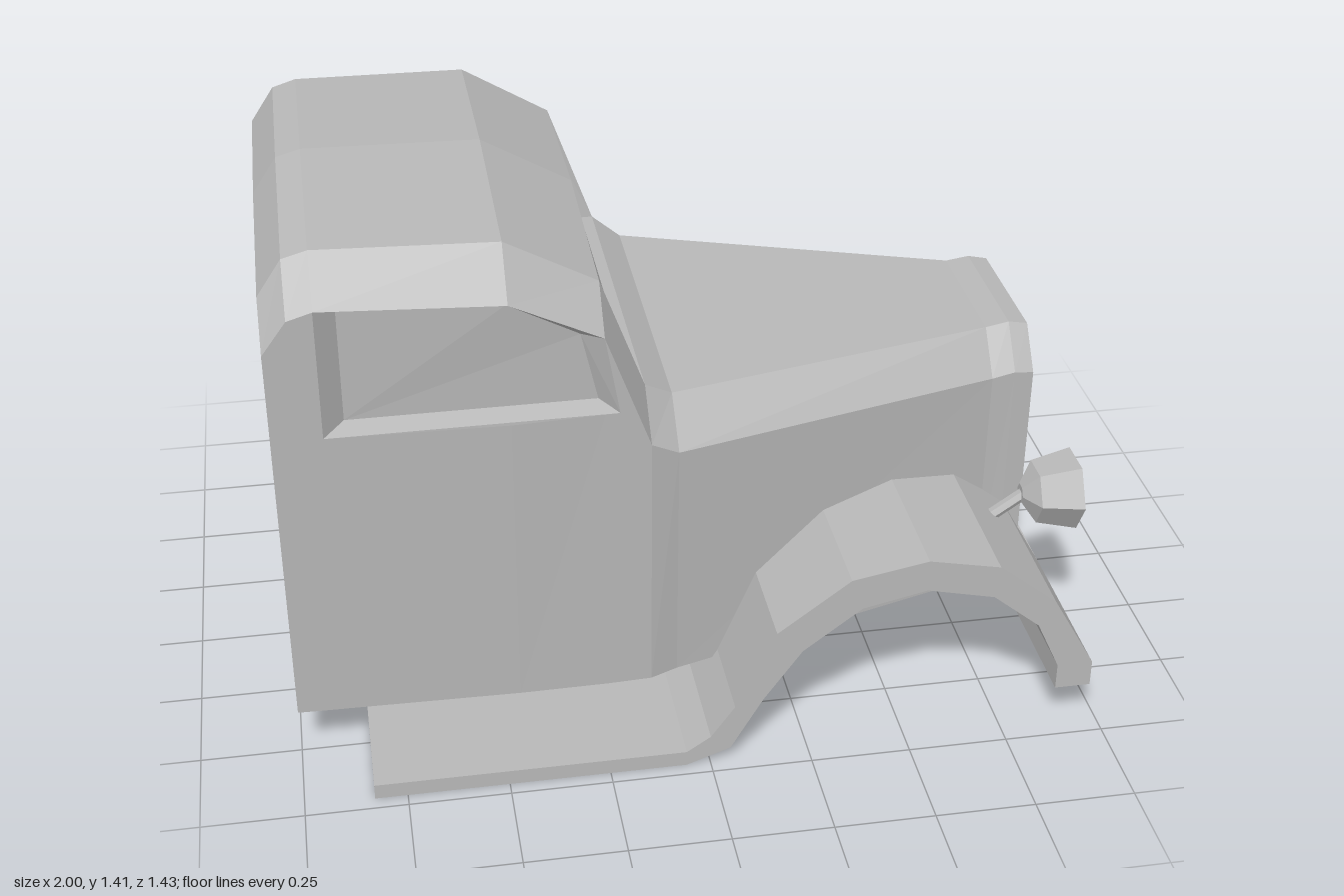
import * as THREE from 'three';

const paint = new THREE.MeshStandardMaterial({ color: 0xb8b8b8, flatShading: true, side: THREE.DoubleSide });
paint.name = 'greyPaint';

const BOTTOM = 0.145, SILL = 0.945;

// Stations along the body: x, top centre y, roof edge y/z, shoulder y/z, bottom z
const stations = [
  [-1.00, 1.305, 1.28, 0.49, 1.175, 0.575, 0.535],
  [-0.94, 1.395, 1.37, 0.49, 1.26, 0.58, 0.537],
  [-0.88, 1.412, 1.388, 0.492, 1.28, 0.583, 0.538],
  [-0.45, 1.405, 1.38, 0.505, 1.265, 0.595, 0.547],
  [-0.23, 1.28, 1.255, 0.49, 1.15, 0.575, 0.545],
  [-0.12, 0.95, 0.95, 0.457, 0.845, 0.56, 0.54],
  [-0.05, 0.903, 0.903, 0.425, 0.80, 0.533, 0.51],
  [0.80, 0.875, 0.875, 0.187, 0.772, 0.272, 0.258],
  [0.86, 0.885, 0.885, 0.185, 0.782, 0.267, 0.256],
  [0.91, 0.875, 0.875, 0.183, 0.775, 0.262, 0.252],
].map(([x, top, ey, ez, ly, lz, bz]) => ({
  x,
  top: [x, top, 0],
  edge: [x, ey, ez],
  low: [x, ly, lz],
  bottom: [x, BOTTOM, bz],
  base: [x, BOTTOM, 0],
  slope: (lz - bz) / (ly - BOTTOM),
}));

// z of the body side at any x, y
function sideZ(x, y) {
  let i = 0;
  while (i < stations.length - 2 && stations[i + 1].x < x) i++;
  const a = stations[i], b = stations[i + 1], t = (x - a.x) / (b.x - a.x);
  const at = s => s.bottom[2] + s.slope * (y - BOTTOM);
  return at(a) * (1 - t) + at(b) * t;
}
const onSide = (x, y, depth = 0) => [x, y, sideZ(x, y) - depth];

// Mesh from polygons, each fanned from its first corner and mirrored across z
function mirroredFaces(name, polygons) {
  const out = [];
  const fan = p => {
    for (let i = 1; i < p.length - 1; i++) out.push(...p[0], ...p[i], ...p[i + 1]);
  };
  for (const p of polygons) {
    fan(p);
    fan(p.map(([x, y, z]) => [x, y, -z]).reverse());
  }
  const g = new THREE.BufferGeometry();
  g.setAttribute('position', new THREE.Float32BufferAttribute(out, 3));
  g.computeVertexNormals();
  const mesh = new THREE.Mesh(g, paint);
  mesh.name = name;
  return mesh;
}

// Quads joining two rows of points
function bridge(a, b, closed) {
  const quads = [];
  for (let i = 0; i < a.length - (closed ? 0 : 1); i++) {
    const j = (i + 1) % a.length;
    quads.push([a[i], a[j], b[j], b[i]]);
  }
  return quads;
}

function extrude(name, points, z0, z1) {
  const shape = new THREE.Shape(points.map(p => new THREE.Vector2(...p)));
  const g = new THREE.ExtrudeGeometry(shape, { depth: z1 - z0, bevelEnabled: false });
  g.translate(0, 0, z0);
  const mesh = new THREE.Mesh(g, paint);
  mesh.name = name;
  return mesh;
}

// Cab and bonnet shell, open at the windows and grille
function makeBody() {
  const faces = [];
  for (let i = 0; i < stations.length - 1; i++) {
    const a = stations[i], b = stations[i + 1];
    if (i !== 4) faces.push([a.edge, b.edge, b.top, a.top]);
    faces.push([a.low, b.low, b.edge, a.edge]);
    faces.push([a.base, b.base, b.bottom, a.bottom]);
    if (i === 2 || i === 3) {
      faces.push([a.bottom, b.bottom, onSide(b.x, SILL), onSide(a.x, SILL)]);
    } else if (i === 4) {
      faces.push([b.low, a.low, onSide(-0.195, SILL), onSide(a.x, SILL), a.bottom, b.bottom]);
    } else {
      faces.push([a.bottom, b.bottom, b.low, a.low]);
    }
  }
  // Rear wall
  const r = stations[0];
  faces.push([r.base, r.bottom, r.low, r.edge, r.top]);
  return mirroredFaces('body', faces);
}

// Recessed side windows
function makeSideWindows() {
  const outer = [[-0.88, SILL], [-0.195, SILL], [-0.23, 1.15], [-0.45, 1.265], [-0.88, 1.28]]
    .map(([x, y]) => onSide(x, y));
  const inner = [[-0.83, 0.962], [-0.24, 0.962], [-0.28, 1.142], [-0.45, 1.24], [-0.83, 1.255]]
    .map(([x, y]) => onSide(x, y, 0.05));
  return [
    mirroredFaces('sideWindowFrames', bridge(outer, inner, true)),
    mirroredFaces('sideWindows', [inner]),
  ];
}

// Recessed windscreen
function makeWindscreen() {
  const outer = [[-0.12, 0.95, 0], stations[5].edge, stations[4].edge, stations[4].top].reverse();
  const inner = [[-0.15, 0.952, 0], [-0.15, 0.952, 0.452], [-0.252, 1.235, 0.468], [-0.26, 1.26, 0]].reverse();
  return [
    mirroredFaces('windscreenFrame', bridge(outer, inner)),
    mirroredFaces('windscreen', [inner]),
  ];
}

// Nose surround with a recessed grille
function makeGrille() {
  const n = stations[stations.length - 1];
  const outer = [n.top, n.edge, n.low, n.bottom, n.base];
  const loop = (x, pts) => pts.map(([y, z]) => [x, y, z]);
  const rim = loop(0.912, [[0.82, 0], [0.82, 0.162], [0.757, 0.222], [0.233, 0.2], [0.233, 0]]);
  const inner = loop(0.87, [[0.78, 0], [0.78, 0.14], [0.73, 0.185], [0.285, 0.163], [0.285, 0]]);
  return [
    mirroredFaces('grilleSurround', [...bridge(outer, rim), ...bridge(rim, inner)]),
    mirroredFaces('grille', [inner.slice().reverse()]),
  ];
}

// Hexagonal headlight on a short stalk
function makeHeadlight(side) {
  const lamp = new THREE.Group();
  lamp.name = side > 0 ? 'leftHeadlight' : 'rightHeadlight';
  const profile = [[0, -0.14], [0.024, -0.14], [0.08, -0.105], [0.104, 0], [0.055, -0.015], [0, -0.015]];
  const shell = new THREE.Mesh(new THREE.LatheGeometry(profile.map(p => new THREE.Vector2(...p)), 6), paint);
  shell.name = 'headlightShell';
  shell.rotation.z = -Math.PI / 2;
  shell.position.set(1, 0.495, 0);
  const from = new THREE.Vector3(0.78, 0.43, 0), to = new THREE.Vector3(0.875, 0.495, 0);
  const stalk = new THREE.Mesh(new THREE.CylinderGeometry(0.016, 0.016, from.distanceTo(to), 6), paint);
  stalk.name = 'headlightStalk';
  stalk.position.copy(from).lerp(to, 0.5);
  stalk.quaternion.setFromUnitVectors(new THREE.Vector3(0, 1, 0), to.clone().sub(from).normalize());
  lamp.add(shell, stalk);
  lamp.position.z = side * 0.385;
  return lamp;
}

export function createModel() {
  const model = new THREE.Group();
  model.name = 'truckCab';
  model.add(makeBody(), ...makeSideWindows(), ...makeWindscreen(), ...makeGrille());

  // Wings flowing into the running boards
  const wing = [
    [-0.83, 0], [-0.06, 0], [0.05, 0.04], [0.13, 0.18], [0.225, 0.315], [0.37, 0.425], [0.53, 0.46],
    [0.70, 0.42], [0.82, 0.32], [0.88, 0.19], [0.88, 0.12], [0.97, 0.12], [0.97, 0.19],
    [0.86, 0.385], [0.71, 0.507], [0.53, 0.545], [0.34, 0.51], [0.16, 0.375], [0.06, 0.165],
    [0, 0.08], [-0.06, 0.04], [-0.83, 0.04],
  ];
  model.add(extrude('leftWing', wing, 0.26, 0.715), extrude('rightWing', wing, -0.715, -0.26));
  model.add(extrude('frontBar', [[0.88, 0.12], [0.97, 0.12], [0.97, 0.19], [0.88, 0.19]], -0.26, 0.26));

  model.add(makeHeadlight(1), makeHeadlight(-1));
  return model;
}
